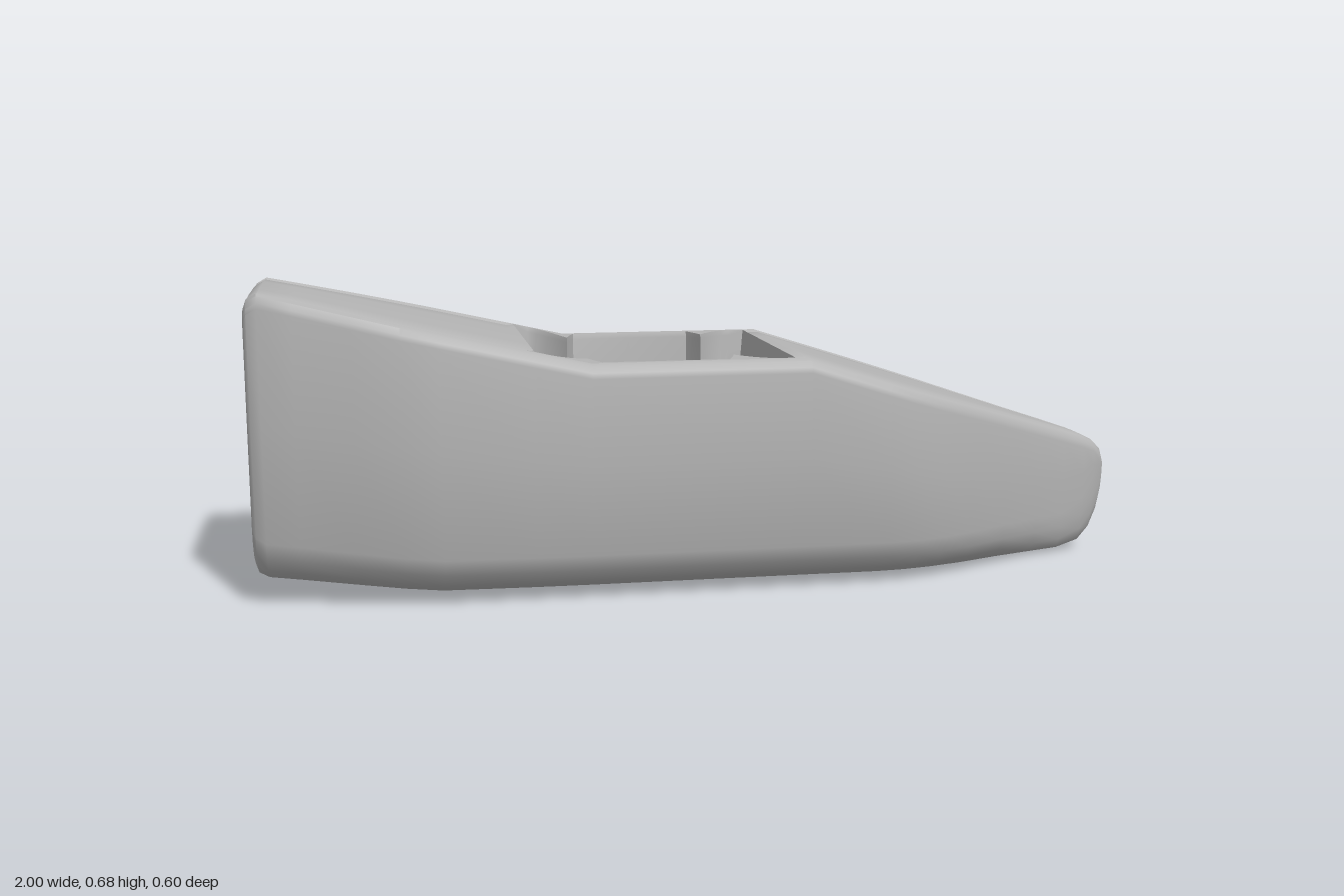
import * as THREE from 'three';
import { toCreasedNormals } from 'three/addons/utils/BufferGeometryUtils.js';

// Hull stations along x: [x, half width, top, bottom, bilge height]
const STATIONS = [
  [-1, 0, 0.35, 0.35, 0],
  [-1, 0.2, 0.64, 0.075, 0.1],
  [-0.992, 0.215, 0.662, 0.055, 0.1],
  [-0.97, 0.225, 0.675, 0.045, 0.1],
  [-0.9, 0.24, 0.66, 0.038, 0.1],
  [-0.78, 0.271, 0.633, 0.026, 0.1],
  [-0.68, 0.294, 0.61, 0.016, 0.1],
  [-0.6, 0.302, 0.592, 0.009, 0.1],
  [-0.4, 0.302, 0.547, 0.006, 0.1],
  [-0.28, 0.302, 0.52, 0.005, 0.1],
  [0.2, 0.302, 0.52, 0.003, 0.1],
  [0.38, 0.302, 0.463, 0.002, 0.1],
  [0.45, 0.295, 0.441, 0.002, 0.1],
  [0.52, 0.275, 0.419, 0.002, 0.1],
  [0.6, 0.237, 0.394, 0.001, 0.1],
  [0.7, 0.182, 0.362, 0.001, 0.1],
  [0.8, 0.13, 0.33, 0, 0.1],
  [0.88, 0.093, 0.305, 0, 0.1],
  [0.94, 0.073, 0.285, 0.012, 0.12],
  [0.97, 0.064, 0.27, 0.04, 0.14],
  [0.99, 0.056, 0.25, 0.085, 0.12],
  [1, 0.046, 0.225, 0.12, 0.09],
  [0.965, 0, 0.262, 0.055, 0.14], // folds inward to form the notched bow
];
const COCKPIT = [-0.4, 0.17];

function stationAt(x) {
  const i = STATIONS.findIndex((s, k) => k > 1 && s[0] >= x);
  const a = STATIONS[i - 1], b = STATIONS[i];
  const f = (x - a[0]) / (b[0] - a[0]);
  return a.map((v, k) => v + (b[k] - v) * f);
}

const shoulder = (w) => Math.min(0.03, w * 0.4);

// Mirrors a list of [z, y] running from the centre line out to +z
function mirrored(half) {
  return [...half.slice(1).reverse().map(([z, y]) => [-z, y]), ...half];
}

// Skins rows of [x, section]; flip turns the surface to face up
function loft(rows, flip) {
  const n = rows[0][1].length, pos = [], index = [];
  rows.forEach(([x, section]) => section.forEach(([z, y]) => pos.push(x, y, z)));
  for (let j = 0; j < rows.length - 1; j++) {
    for (let i = 0; i < n - 1; i++) {
      const a = j * n + i, b = a + n, c = a + 1, d = b + 1;
      if (flip) index.push(a, c, b, c, d, b);
      else index.push(a, b, c, c, b, d);
    }
  }
  const geo = new THREE.BufferGeometry();
  geo.setAttribute('position', new THREE.Float32BufferAttribute(pos, 3));
  geo.setIndex(index);
  return toCreasedNormals(geo, 0.75);
}

// Keel, bilge, side and rounded gunwale
function hullRow([x, w, t, bo, b]) {
  const s = shoulder(w);
  return [x, mirrored([
    [0, bo], [w * 0.35, bo + 0.02 * b], [w * 0.67, bo + 0.1 * b],
    [w * 0.84, bo + 0.34 * b], [w * 0.94, bo + 0.64 * b], [w * 0.985, bo + b],
    [w, (bo + b) * 0.5 + (t - s) * 0.5], [w, t - s],
    [w - 0.09 * s, t - 0.6 * s], [w - 0.4 * s, t - 0.15 * s], [w - s, t],
  ])];
}

// Deck with a shallow groove inside the gunwale, closing at the cockpit
function deckRow([x, w, t]) {
  const p = w - shoulder(w);
  const dip = COCKPIT.includes(x) ? 0 : Math.min(0.013, w * 0.06);
  return [x, mirrored([
    [0, t], [p * 0.45, t], [p * 0.83, t - dip * 0.15], [p * 0.87, t - dip * 0.5],
    [p * 0.9, t - dip], [p * 0.94, t - dip * 0.6], [p, t],
  ])];
}

// Cockpit floor and walls; c is the half width, depth runs from 0 to 1
function cockpitRow([x, c, depth]) {
  const [, w, t] = stationAt(x);
  const floor = t + (0.09 - t) * depth;
  return [x, mirrored([
    [0, floor], [c * 0.5, floor], [c * 0.96, floor], [c, t + (0.1 - t) * depth],
    [c, t - 0.012 * depth], [c + 0.003, t], [w - shoulder(w), t],
  ])];
}

export function createModel() {
  const group = new THREE.Group();
  const hullGrey = new THREE.MeshStandardMaterial({ color: 0xb4b4b4, side: THREE.DoubleSide });
  hullGrey.name = 'hull grey';
  const add = (name, geo) => {
    const mesh = new THREE.Mesh(geo, hullGrey);
    mesh.name = name;
    group.add(mesh);
  };

  add('hull', loft(STATIONS.map(hullRow), false));

  const [aft, fore] = COCKPIT;
  const aftStations = [...STATIONS.filter((s) => s[0] < aft), stationAt(aft - 0.02), stationAt(aft)];
  add('aftDeck', loft(aftStations.map(deckRow), true));
  const foreStations = [stationAt(fore), stationAt(fore + 0.02), ...STATIONS.filter((s) => s[0] > fore + 0.02)];
  add('foreDeck', loft(foreStations.map(deckRow), true));

  // Cockpit tub with pointed side frames at both ends
  const tub = [
    [aft, 0.262, 0], [-0.365, 0.264, 1], [-0.345, 0.258, 1], [-0.315, 0.235, 1],
    [-0.29, 0.205, 1], [-0.278, 0.187, 1], [-0.267, 0.225, 1], [-0.255, 0.255, 1],
    [-0.115, 0.258, 1],
    [0.025, 0.255, 1], [0.037, 0.225, 1], [0.048, 0.187, 1], [0.06, 0.205, 1],
    [0.085, 0.235, 1], [0.115, 0.258, 1], [0.135, 0.264, 1], [fore, 0.262, 0],
  ];
  // keep the bend in the gunwale line as a row of its own
  tub.splice(5, 0, [-0.28, 0.19, 1]);
  add('cockpit', loft(tub.map(cockpitRow), true));

  return group;
}
